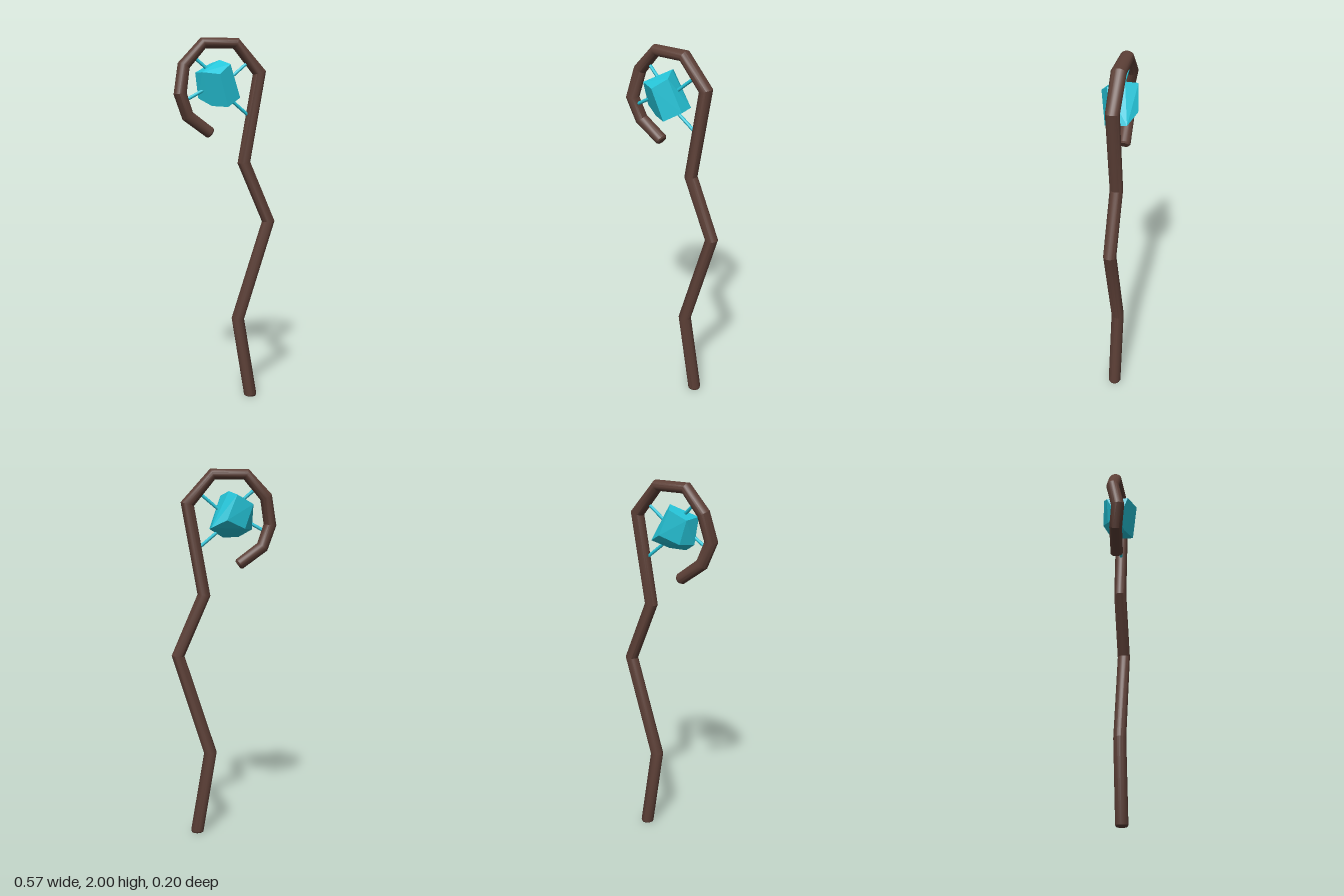
import * as THREE from 'three';
import { ConvexGeometry } from 'three/addons/geometries/ConvexGeometry.js';
import { toCreasedNormals } from 'three/addons/utils/BufferGeometryUtils.js';

const SIDES = 20;

// Centre x, y, z, half width in the plane of the bend, half depth in z
const STAFF = [
  [0.15, 0.0, -0.018, 0.030, 0.030],
  [0.149, 0.008, -0.018, 0.035, 0.035],
  [0.075, 0.455, -0.018, 0.035, 0.035],
  [0.25, 1.0, -0.02, 0.035, 0.035],
  [0.108, 1.33, -0.02, 0.035, 0.035],
  [0.195, 1.815, -0.023, 0.037, 0.036],
  [0.061, 1.971, -0.02, 0.031, 0.040],
  [-0.12, 1.971, -0.017, 0.031, 0.037],
  [-0.227, 1.852, -0.015, 0.034, 0.036],
  [-0.254, 1.705, 0.018, 0.035, 0.037],
  [-0.21, 1.587, 0.0, 0.034, 0.036],
  [-0.085, 1.496, -0.012, 0.031, 0.035],
  [-0.078, 1.491, -0.012, 0.024, 0.028],
];

// Sweep an elliptical ring along the bent path, each ring lying on its joint's bisector
function sweptStaff(path) {
  const centre = path.map(p => new THREE.Vector3(p[0], p[1], p[2]));
  const positions = [], index = [];
  path.forEach((p, i) => {
    const before = centre[Math.max(i - 1, 0)], here = centre[i];
    const after = centre[Math.min(i + 1, path.length - 1)];
    const tangent = here.clone().sub(before).normalize()
      .add(after.clone().sub(here).normalize()).normalize();
    if (i === 0) tangent.set(0, 1, 0);
    const across = new THREE.Vector3(tangent.y, -tangent.x, 0).normalize();
    const depth = across.clone().cross(tangent).normalize();
    for (let s = 0; s < SIDES; s++) {
      const a = s / SIDES * Math.PI * 2;
      const v = here.clone().addScaledVector(across, Math.cos(a) * p[3])
        .addScaledVector(depth, Math.sin(a) * p[4]);
      positions.push(v.x, v.y, v.z);
    }
  });
  for (let i = 0; i < path.length - 1; i++) {
    for (let s = 0; s < SIDES; s++) {
      const a = i * SIDES + s, b = i * SIDES + (s + 1) % SIDES;
      index.push(a, a + SIDES, b, b, a + SIDES, b + SIDES);
    }
  }
  // End caps
  const last = (path.length - 1) * SIDES;
  for (let s = 1; s < SIDES - 1; s++) {
    index.push(0, s, s + 1, last, last + s + 1, last + s);
  }
  const geometry = new THREE.BufferGeometry();
  geometry.setAttribute('position', new THREE.Float32BufferAttribute(positions, 3));
  geometry.setIndex(index);
  return toCreasedNormals(geometry, 0.5);
}

function rod(from, to, radius, material) {
  const a = new THREE.Vector3(...from), b = new THREE.Vector3(...to);
  const direction = b.clone().sub(a);
  const mesh = new THREE.Mesh(new THREE.CylinderGeometry(radius, radius, direction.length(), 8), material);
  mesh.position.copy(a).add(b).multiplyScalar(0.5);
  mesh.quaternion.setFromUnitVectors(new THREE.Vector3(0, 1, 0), direction.normalize());
  return mesh;
}

export function createModel() {
  const group = new THREE.Group();
  const wood = new THREE.MeshStandardMaterial({ color: 0x5d4037, side: THREE.DoubleSide });
  const crystalMaterial = new THREE.MeshStandardMaterial({ color: 0x26c6da, flatShading: true });
  const rodMaterial = new THREE.MeshStandardMaterial({ color: 0x26c6da });

  // Crooked shaft and curled head
  const staff = new THREE.Mesh(sweptStaff(STAFF), wood);
  staff.name = 'staff';
  group.add(staff);

  // Skewed, faceted block floating in the curl
  const corners = [
    [-0.058, 1.807, 0.100], [-0.145, 1.817, 0.060], [0.012, 1.860, 0.053],
    [-0.005, 1.635, 0.070], [0.075, 1.683, 0.018], [0.070, 1.690, -0.065],
    [-0.010, 1.730, -0.103], [-0.065, 1.864, -0.090], [-0.026, 1.883, -0.030],
    [-0.154, 1.815, -0.060], [-0.154, 1.680, 0.010], [-0.085, 1.640, 0.032],
    [-0.110, 1.685, -0.060], [0.010, 1.645, 0.010],
  ].map(c => new THREE.Vector3(...c));
  const crystal = new THREE.Mesh(new ConvexGeometry(corners), crystalMaterial);
  crystal.name = 'crystal';
  group.add(crystal);

  // Thin rods holding the crystal to the curl
  const rods = new THREE.Group();
  rods.name = 'crystalRods';
  [
    [[-0.175, 1.90, -0.015], [-0.06, 1.80, 0.0]],
    [[0.145, 1.885, -0.02], [0.0, 1.765, 0.0]],
    [[-0.235, 1.665, 0.018], [-0.09, 1.745, 0.03]],
    [[0.145, 1.575, -0.02], [0.0, 1.695, 0.0]],
  ].forEach(([from, to], i) => {
    const mesh = rod(from, to, 0.009, rodMaterial);
    mesh.name = `crystalRod${i + 1}`;
    rods.add(mesh);
  });
  group.add(rods);
  return group;
}
